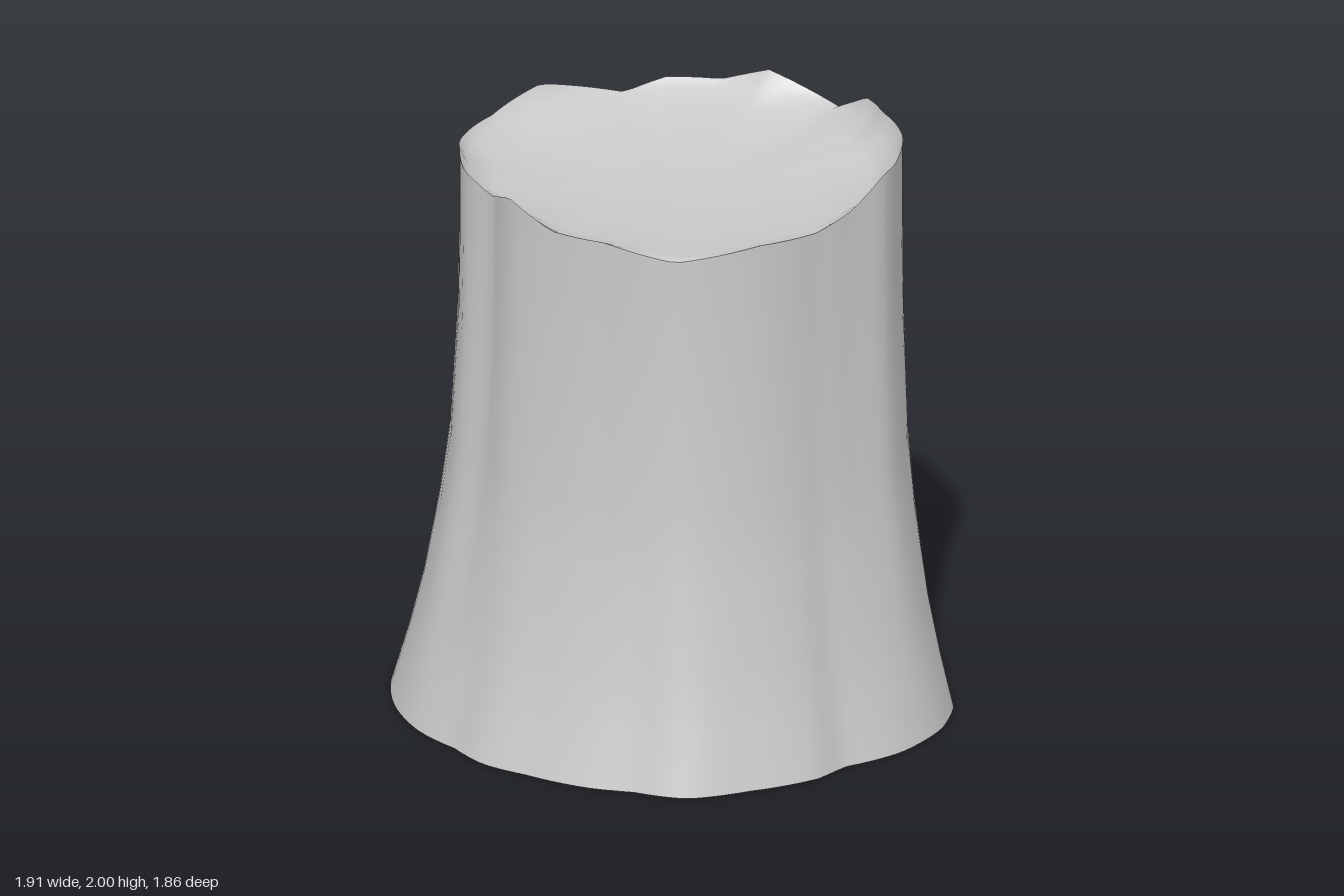
import * as THREE from 'three';

// Base outline as x, z pairs
const BASE = [
  0.15, -0.93, 0.38, -0.83, 0.53, -0.77, 0.76, -0.62, 0.81, -0.48, 0.925, -0.33, 0.955, -0.18,
  0.93, 0, 0.85, 0.27, 0.70, 0.50, 0.695, 0.59, 0.54, 0.76, 0.31, 0.87, 0.08, 0.88,
  -0.05, 0.925, -0.30, 0.90, -0.49, 0.86, -0.55, 0.82, -0.64, 0.70, -0.74, 0.60, -0.86, 0.385,
  -0.935, 0.22, -0.94, 0.05, -0.96, -0.14, -0.925, -0.33, -0.885, -0.435, -0.67, -0.73,
  -0.485, -0.805, -0.34, -0.89, -0.23, -0.91, -0.115, -0.91,
];
// Broken upper rim as x, z, y triples
const RIM = [
  -0.105, -0.75, 1.95, 0.20, -0.71, 1.87, 0.34, -0.67, 1.91, 0.50, -0.575, 1.9, 0.60, -0.435, 1.96,
  0.755, -0.245, 1.86, 0.745, -0.05, 1.96, 0.695, 0.13, 1.98, 0.62, 0.385, 1.99, 0.515, 0.52, 1.98,
  0.385, 0.65, 2.0, 0.24, 0.68, 1.91, 0.08, 0.71, 1.87, -0.155, 0.73, 1.88, -0.435, 0.64, 1.845,
  -0.585, 0.435, 1.88, -0.68, 0.255, 1.88, -0.735, 0.065, 1.95, -0.71, -0.08, 1.9,
  -0.735, -0.215, 1.95, -0.65, -0.385, 1.96, -0.535, -0.55, 1.92, -0.34, -0.68, 1.91,
];
// How much of the base flare remains at each height
const FLARE = [[0, 1], [0.2, 0.74], [0.4, 0.52], [0.7, 0.28], [0.95, 0.13], [1.4, 0.02], [1.7, 0]];
const N = 120;
const TAU = Math.PI * 2;

// Returns a function giving [radius, height] of an outline at any angle
function outline(data, step) {
  const pts = [];
  for (let i = 0; i < data.length; i += step) {
    const x = data[i], z = data[i + 1];
    pts.push([(Math.atan2(z, x) + TAU) % TAU, Math.hypot(x, z), step > 2 ? data[i + 2] : 0]);
  }
  pts.sort((a, b) => a[0] - b[0]);
  const first = pts[0], last = pts[pts.length - 1];
  pts.unshift([last[0] - TAU, last[1], last[2]]);
  pts.push([first[0] + TAU, first[1], first[2]]);
  return (a) => {
    let k = 1;
    while (k < pts.length - 1 && pts[k][0] < a) k++;
    const p = pts[k - 1], q = pts[k];
    const t = (a - p[0]) / (q[0] - p[0]);
    return [p[1] + (q[1] - p[1]) * t, p[2] + (q[2] - p[2]) * t];
  };
}

// Smooth skin through closed rings; each ring maps an angle to [radius, height]
function loft(rings) {
  const pos = [], index = [];
  for (const ring of rings) {
    for (let i = 0; i < N; i++) {
      const a = (i / N) * TAU;
      const [r, y] = ring(a);
      pos.push(Math.cos(a) * r, y, Math.sin(a) * r);
    }
  }
  for (let j = 0; j < rings.length - 1; j++) {
    for (let i = 0; i < N; i++) {
      const n = (i + 1) % N;
      const a = j * N + i, b = j * N + n, c = a + N, d = b + N;
      index.push(a, c, b, b, c, d);
    }
  }
  const geo = new THREE.BufferGeometry();
  geo.setAttribute('position', new THREE.Float32BufferAttribute(pos, 3));
  geo.setIndex(index);
  geo.computeVertexNormals();
  return geo;
}

export function createModel() {
  const group = new THREE.Group();
  group.name = 'treeStump';
  const material = new THREE.MeshStandardMaterial({ color: 0xcccccc, side: THREE.DoubleSide });
  const base = outline(BASE, 2);
  const rim = outline(RIM, 3);

  // Flared, fluted bark wall, open underneath
  const barkRings = FLARE.map(([y, f]) => (a) => {
    const r = rim(a)[0];
    return [r + (base(a)[0] - r) * f, y];
  });
  barkRings.push(rim);
  const bark = new THREE.Mesh(loft(barkRings), material);
  bark.name = 'barkWall';

  // Shallow hollowed top inside the jagged rim: [radius scale, rim share, floor height]
  const dish = [[1, 1, 0], [0.96, 0.4, 1.86], [0.85, 0.15, 1.84], [0.6, 0.05, 1.82],
    [0.3, 0, 1.81], [0.001, 0, 1.81]];
  const topRings = dish.map(([s, k, y]) => (a) => {
    const [r, h] = rim(a);
    return [r * s, h * k + y * (1 - k)];
  });
  const top = new THREE.Mesh(loft(topRings), material);
  top.name = 'hollowTop';

  group.add(bark, top);
  return group;
}
